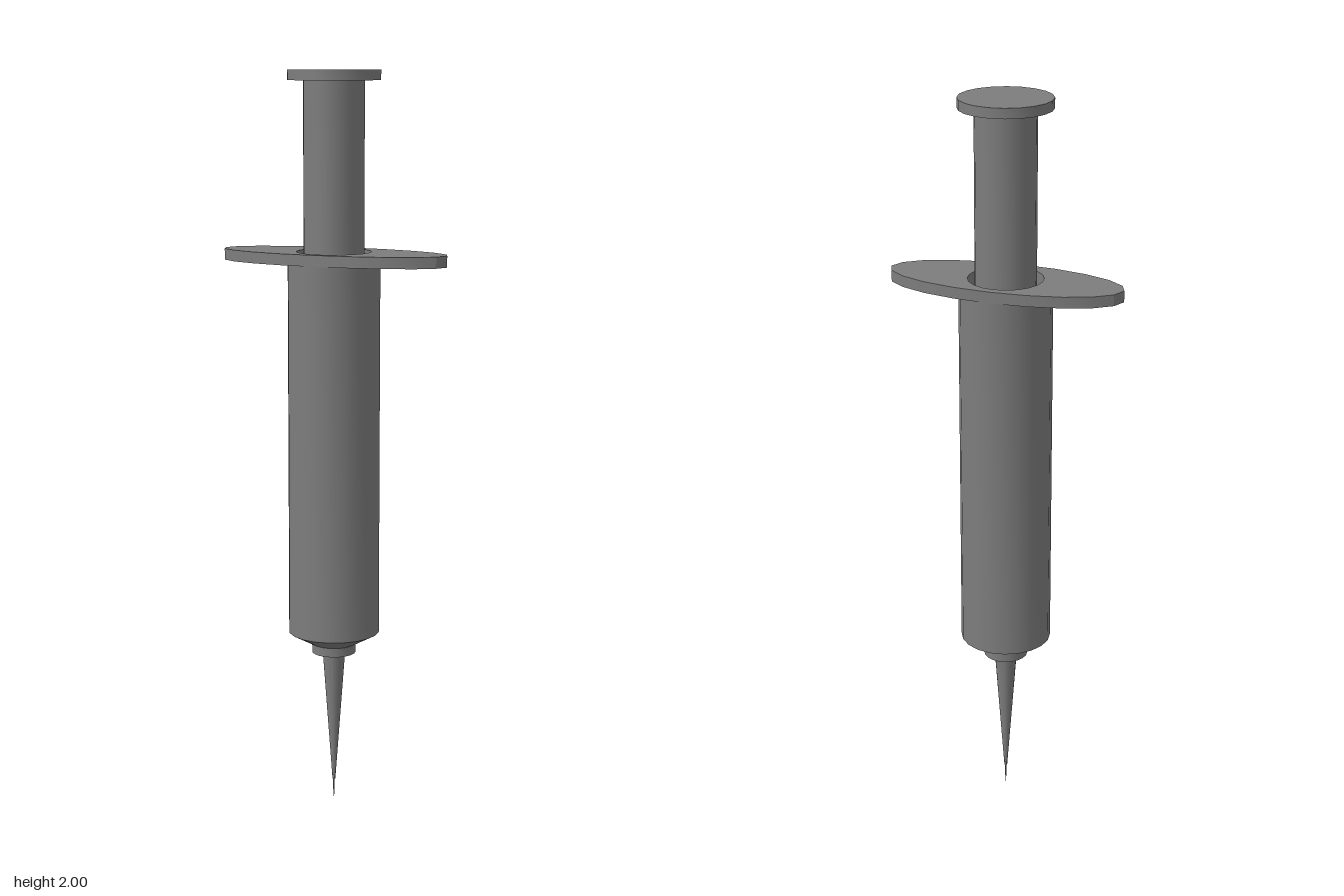
import * as THREE from 'three';
import { toCreasedNormals } from 'three/addons/utils/BufferGeometryUtils.js';

const SIDES = 20;
const material = new THREE.MeshStandardMaterial({ color: 0x7d7d7d });

export function createModel() {
  const group = new THREE.Group();

  const add = (name, geometry) => {
    const mesh = new THREE.Mesh(toCreasedNormals(geometry, 0.5), material);
    mesh.name = name;
    group.add(mesh);
  };
  // Turned part from [radius, height] pairs
  const turned = (name, profile) =>
    add(name, new THREE.LatheGeometry(profile.map(([r, y]) => new THREE.Vector2(r, y)), SIDES));
  // Points of an ellipse, for the flange outline and its hole
  const ellipse = (rx, ry) =>
    Array.from({ length: SIDES }, (_, i) => {
      const a = (i / SIDES) * Math.PI * 2;
      return new THREE.Vector2(rx * Math.cos(a), ry * Math.sin(a));
    });

  // Fine pointed needle with its tapered sleeve
  turned('needle', [[0, 0], [0.002, 0.03], [0.002, 0.06], [0.004, 0.06], [0.031, 0.43], [0, 0.43]]);

  // Collar between needle and barrel
  turned('needleHub', [[0, 0.428], [0.06, 0.428], [0.06, 0.456], [0, 0.456]]);

  // Hollow barrel with sloped shoulder, open at the top
  turned('barrel', [
    [0, 0.453], [0.06, 0.453], [0.1235, 0.487], [0.1235, 1.498],
    [0.1, 1.498], [0.1, 0.5], [0, 0.5],
  ]);

  // Oval finger flange with a hole for the plunger
  const outline = new THREE.Shape(ellipse(0.32, 0.1235));
  outline.holes.push(new THREE.Path(ellipse(0.1, 0.1)));
  const flange = new THREE.ExtrudeGeometry(outline, { depth: 0.03, bevelEnabled: false });
  flange.rotateX(-Math.PI / 2).translate(0, 1.497, 0);
  add('fingerFlange', flange);

  // Plunger rod and thumb rest
  turned('plungerRod', [[0, 0.52], [0.081, 0.52], [0.081, 1.98], [0, 1.98]]);
  turned('thumbRest', [[0, 1.973], [0.1235, 1.973], [0.1235, 2], [0, 2]]);

  return group;
}
